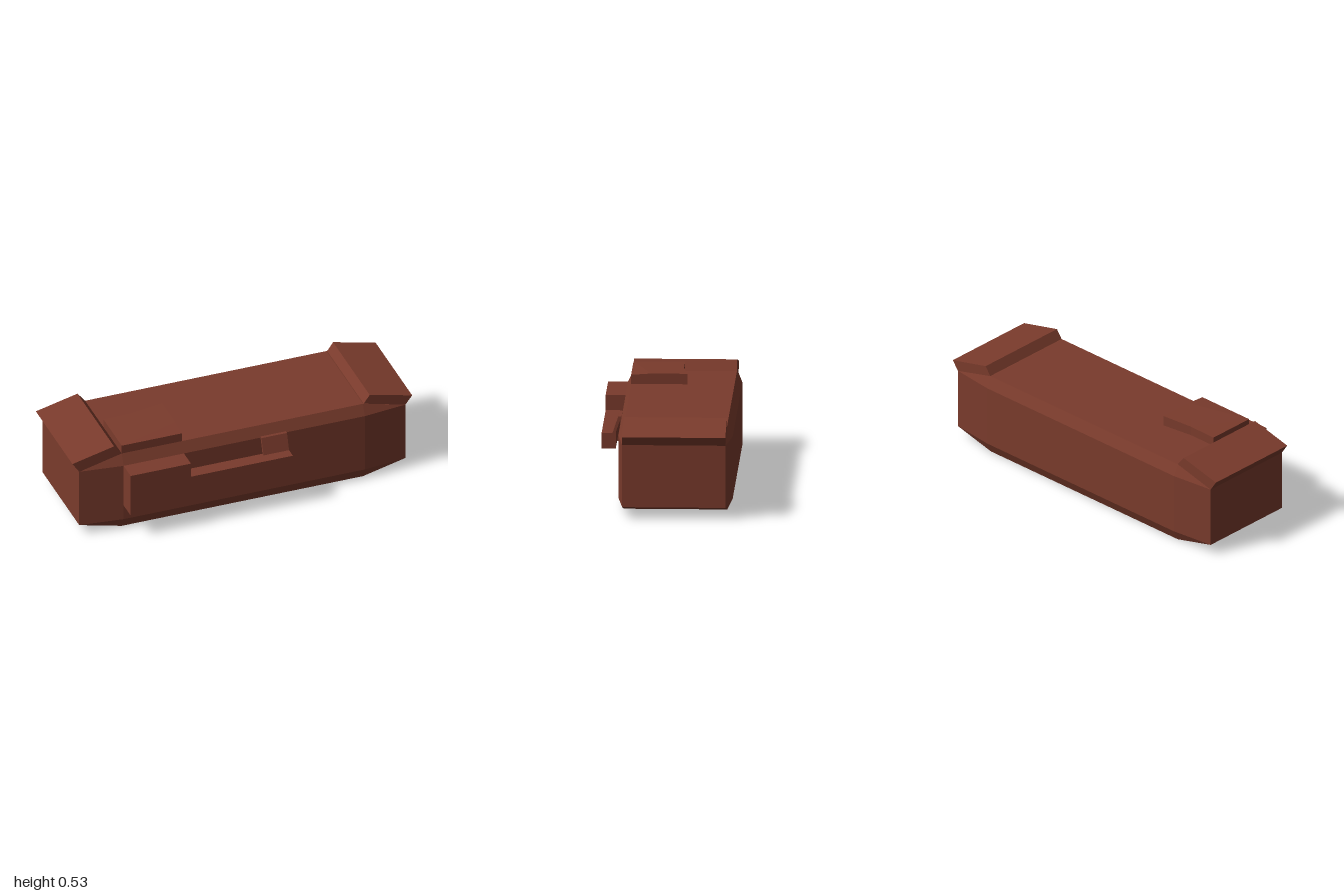
import * as THREE from 'three';

export function createModel() {
  const model = new THREE.Group();
  const material = new THREE.MeshStandardMaterial({ color: 0x7a3b2c, flatShading: true });

  const add = (name, geometry) => {
    const mesh = new THREE.Mesh(geometry, material);
    mesh.name = name;
    model.add(mesh);
    return mesh;
  };
  const extrude = (points, depth) => new THREE.ExtrudeGeometry(
    new THREE.Shape(points.map(([x, y]) => new THREE.Vector2(x, y))),
    { depth, bevelEnabled: false });
  const box = (name, x0, x1, y0, y1, z0, z1) => add(name,
    new THREE.BoxGeometry(x1 - x0, y1 - y0, z1 - z0)
      .translate((x0 + x1) / 2, (y0 + y1) / 2, (z0 + z1) / 2));

  // Body: an octagonal section tapering to a rectangle at each end
  const middle = [[0.26, 0.062], [0.26, 0.412], [0.23, 0.475], [-0.34, 0.475],
    [-0.37, 0.412], [-0.37, 0.062], [-0.34, 0], [0.23, 0]];
  const clamp = THREE.MathUtils.clamp;
  const end = middle.map(([z, y]) => [clamp(z, -0.34, 0.23), clamp(y, 0.062, 0.412)]);
  const sections = [[-0.96, end], [-0.71, middle], [0.71, middle], [0.96, end]];
  const n = middle.length;
  const positions = sections.flatMap(([x, ring]) => ring.flatMap(([z, y]) => [x, y, z]));
  const index = [];
  for (let s = 0; s < sections.length - 1; s++) {
    for (let i = 0; i < n; i++) {
      const a = s * n + i, b = s * n + (i + 1) % n;
      index.push(a, a + n, b + n, a, b + n, b);
    }
  }
  const last = (sections.length - 1) * n;
  for (let i = 1; i < n - 1; i++) {
    index.push(0, i, i + 1, last, last + i + 1, last + i);
  }
  const indexed = new THREE.BufferGeometry();
  indexed.setAttribute('position', new THREE.Float32BufferAttribute(positions, 3));
  indexed.setIndex(index);
  const body = indexed.toNonIndexed();
  body.computeVertexNormals();
  add('body', body);

  // Raised slanted lips over both ends
  const lips = {
    rightEndLip: [[-0.96, 0.412], [-0.71, 0.475], [-0.755, 0.532], [-1, 0.472]],
    leftEndLip: [[0.96, 0.412], [1, 0.464], [0.75, 0.524], [0.715, 0.475]],
  };
  for (const [name, points] of Object.entries(lips)) {
    add(name, extrude(points, 0.57).translate(0, 0, -0.34));
  }

  // Top plate, rising slightly toward its inner back corner
  const plate = extrude([[-0.71, 0.23], [-0.71, -0.055], [-0.54, -0.055],
    [-0.355, -0.08], [-0.355, 0.12], [-0.355, 0.23]], 0.055)
    .rotateX(Math.PI / 2).translate(0, 0.526, 0);
  const p = plate.attributes.position;
  for (let i = 0; i < p.count; i++) {
    if (p.getY(i) < 0.5) continue;
    const rise = clamp((p.getX(i) + 0.62) / 0.265, 0, 1) * clamp((0.23 - p.getZ(i)) / 0.11, 0, 1);
    p.setY(i, p.getY(i) + 0.008 * rise);
  }
  plate.computeVertexNormals();
  add('topPlate', plate);

  // Front block with its arm and the tab leaning back to the body
  box('frontBlock', -0.71, -0.355, 0.152, 0.412, 0.255, 0.37);
  box('arm', -0.36, 0.245, 0.239, 0.326, 0.292, 0.37);
  add('armTab', extrude([[0.292, 0.32], [0.31, 0.32], [0.31, 0.326],
    [0.278, 0.42], [0.26, 0.42], [0.292, 0.33]], 0.15)
    .rotateY(-Math.PI / 2).translate(0.245, 0, 0));

  return model;
}
